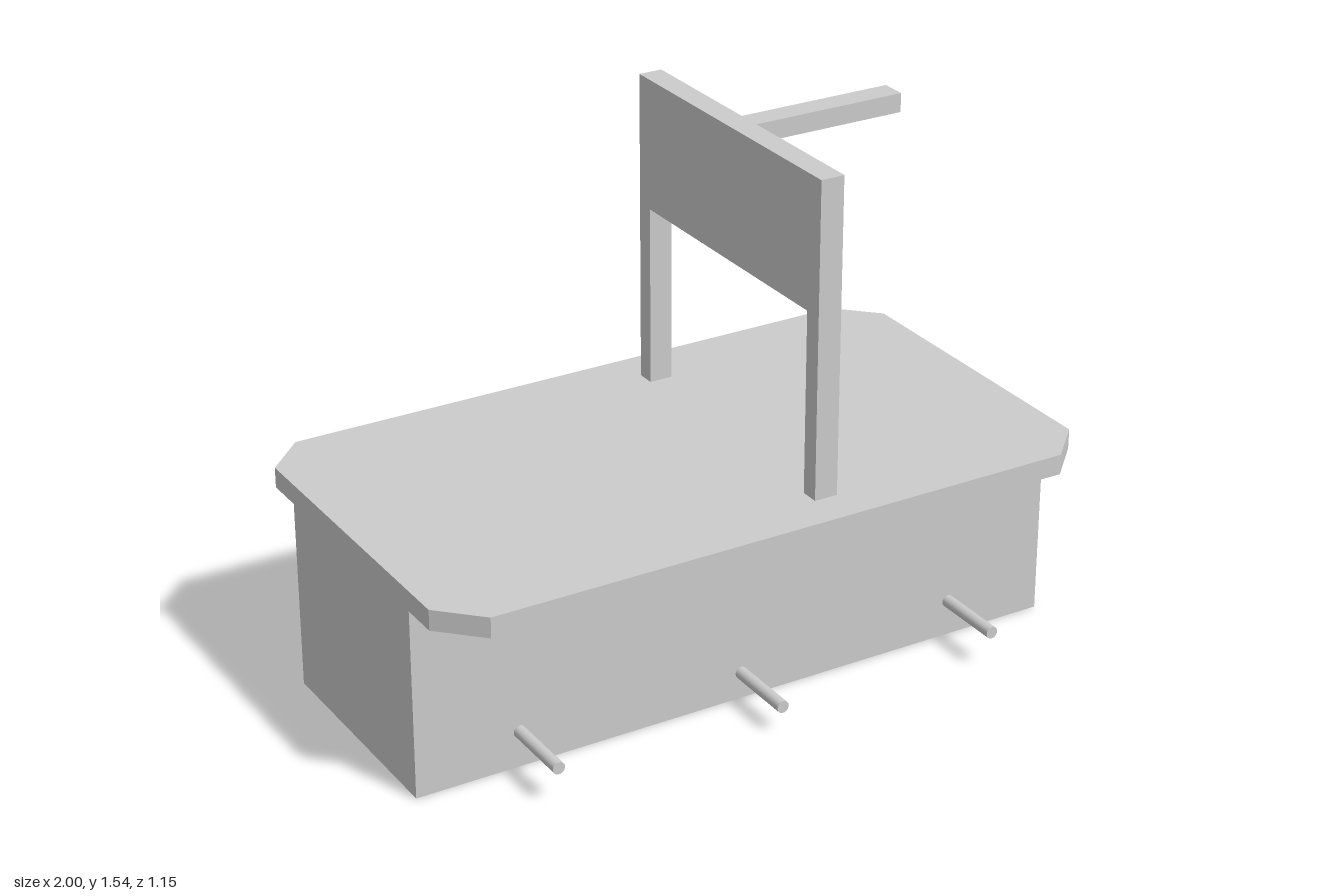
import * as THREE from 'three';

const material = new THREE.MeshStandardMaterial({ color: 0xcccccc });
const flatMaterial = new THREE.MeshStandardMaterial({ color: 0xcccccc, flatShading: true });

function add(group, name, geometry, mat = flatMaterial) {
  const mesh = new THREE.Mesh(geometry, mat);
  mesh.name = name;
  group.add(mesh);
  return mesh;
}

// Box given by its minimum and maximum corners
function boxBetween(a, b) {
  const g = new THREE.BoxGeometry(b[0] - a[0], b[1] - a[1], b[2] - a[2]);
  return g.translate((a[0] + b[0]) / 2, (a[1] + b[1]) / 2, (a[2] + b[2]) / 2);
}

function extrude(points, depth) {
  const shape = new THREE.Shape(points.map(([x, y]) => new THREE.Vector2(x, y)));
  return new THREE.ExtrudeGeometry(shape, { depth, bevelEnabled: false });
}

export function createModel() {
  const model = new THREE.Group();
  model.name = 'model';

  // Main body
  add(model, 'body', boxBetween([-1, 0, -0.345], [1, 0.56, 0.345]));

  // Deck with cut corners
  const w = 1, d = 0.575, c = 0.115;
  const deck = extrude([
    [-w + c, -d], [w - c, -d], [w, -d + c], [w, d - c],
    [w - c, d], [-w + c, d], [-w, d - c], [-w, -d + c],
  ], 0.06);
  deck.rotateX(-Math.PI / 2).translate(0, 0.56, 0);
  add(model, 'deck', deck);

  // Upright frame: two legs joined by a tall panel
  const outer = 0.46, inner = 0.405, foot = 0.62, under = 1.155, top = 1.54;
  const frame = extrude([
    [-outer, foot], [-inner, foot], [-inner, under], [inner, under],
    [inner, foot], [outer, foot], [outer, top], [-outer, top],
  ], 0.07);
  frame.rotateY(Math.PI / 2).translate(0.155, 0, 0);
  add(model, 'uprightFrame', frame);

  // Arm reaching out from the top of the frame
  add(model, 'arm', boxBetween([0.225, 1.485, -0.037], [0.69, 1.54, 0.037]));

  // Three round pegs on each long side
  for (const side of [1, -1]) {
    for (const [x, y] of [[-0.69, 0.108], [0, 0.08], [0.69, 0.108]]) {
      const peg = new THREE.CylinderGeometry(0.018, 0.018, 0.215, 24).rotateX(Math.PI / 2);
      add(model, side > 0 ? 'frontPeg' : 'backPeg', peg, material)
        .position.set(x, y, side * 0.4515);
    }
  }
  return model;
}
